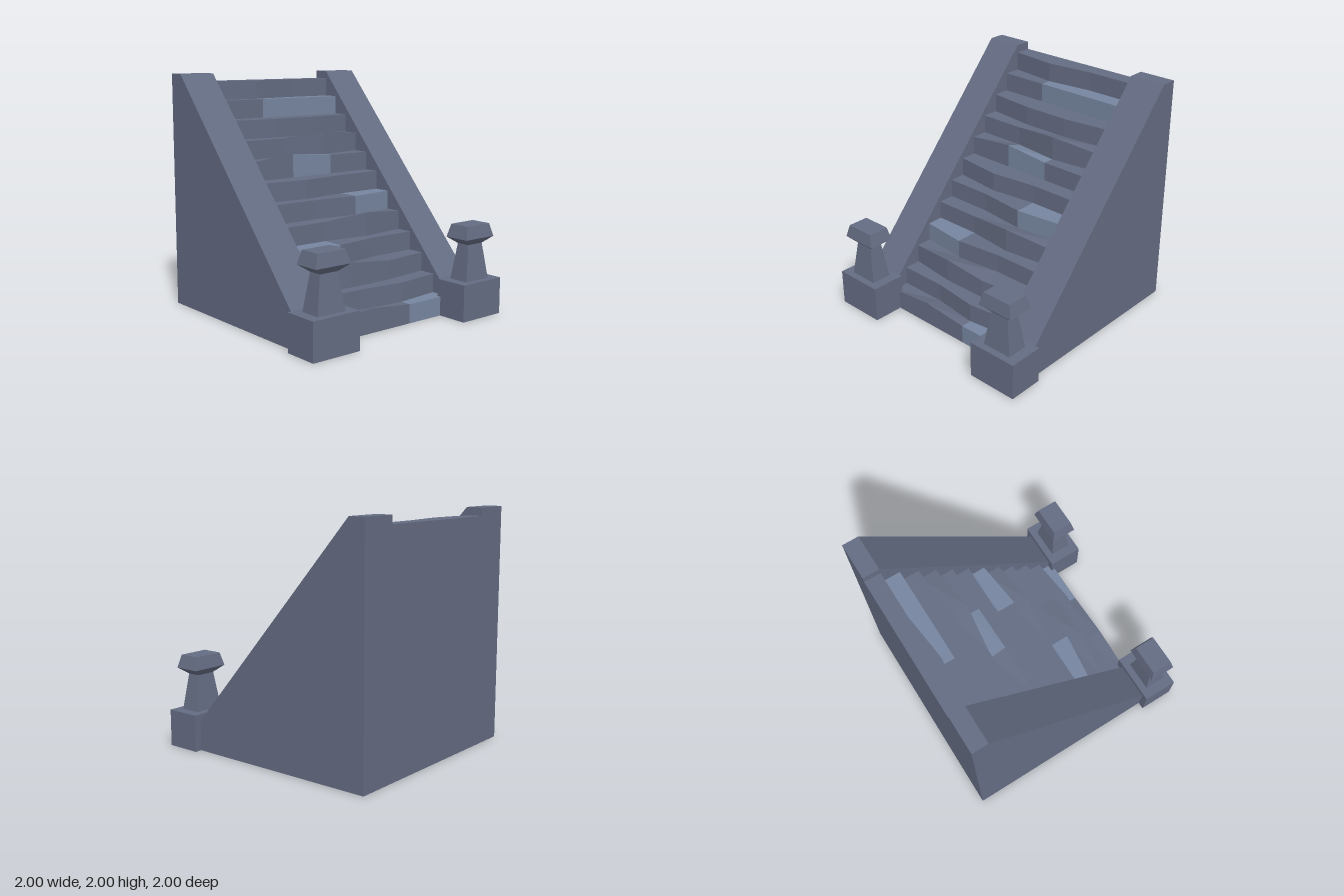
import * as THREE from 'three';

const STEPS = 12, RISE = 0.161, RUN = 0.145, FRONT = 0.735, BACK = -1;
const COLS = [-0.62, -0.205, 0.205, 0.62];
const BUMP_Z = 0.048, BUMP_Y = 0.04;

// Inner columns (1 or 2) pushed forward or up on each step
const FORWARD = [[], [2], [1, 2], [1], [2], [2], [1], [], [2], [1, 2], [], [1]];
const RAISED = [[1], [], [1], [], [2], [], [], [1], [2], [], [], []];
// Paler stones on each step, by cell
const PALE = { 0: [2], 3: [0], 5: [2], 7: [1], 10: [1, 2] };

const stone = new THREE.MeshStandardMaterial({ color: 0x646c82, flatShading: true });
const paleStone = new THREE.MeshStandardMaterial({ color: 0x76859f, flatShading: true });

// Corners a, b, c, d run counter-clockwise seen from outside
function quad(list, a, b, c, d) {
  list.push(...a, ...b, ...c, ...a, ...c, ...d);
}

function meshFrom(list, material, name) {
  const geometry = new THREE.BufferGeometry();
  geometry.setAttribute('position', new THREE.Float32BufferAttribute(list, 3));
  geometry.computeVertexNormals();
  const mesh = new THREE.Mesh(geometry, material);
  mesh.name = name;
  return mesh;
}

// Worn flight of steps with its back and underside
function createStairs() {
  const plain = [], pale = [];
  const frontZ = (k, c) => k === STEPS ? BACK
    : FRONT - RUN * k + (FORWARD[k].includes(c) ? BUMP_Z : 0);
  const edgeY = (k, c) => RISE * (k + 1) + (RAISED[k].includes(c) ? BUMP_Y : 0);

  for (let k = 0; k < STEPS; k++) {
    for (let c = 0; c < 3; c++) {
      const list = PALE[k]?.includes(c) ? pale : plain;
      const foot = i => [COLS[i], RISE * k, frontZ(k, i)];
      const edge = i => [COLS[i], edgeY(k, i), frontZ(k, i)];
      const rear = i => [COLS[i], RISE * (k + 1), frontZ(k + 1, i)];
      quad(list, foot(c), foot(c + 1), edge(c + 1), edge(c));
      quad(list, edge(c), edge(c + 1), rear(c + 1), rear(c));
    }
  }
  const [l, r, top] = [COLS[0], COLS[3], RISE * STEPS];
  quad(plain, [r, 0, BACK], [l, 0, BACK], [l, top, BACK], [r, top, BACK]);
  quad(plain, [l, 0, BACK], [r, 0, BACK], [r, 0, FRONT], [l, 0, FRONT]);
  // Ends of the bottom step, in front of the side walls
  quad(plain, [r, 0, FRONT], [r, 0, 0.59], [r, RISE, 0.59], [r, RISE, FRONT]);
  quad(plain, [l, 0, 0.59], [l, 0, FRONT], [l, RISE, FRONT], [l, RISE, 0.59]);

  const group = new THREE.Group();
  group.name = 'stairs';
  group.add(meshFrom(plain, stone, 'steps'), meshFrom(pale, paleStone, 'paleStones'));
  return group;
}

// Sloping side wall, profile drawn as (-z, y) and extruded along x
function createWall(side) {
  const shape = new THREE.Shape([
    [-0.7, 0], [1, 0], [1, 2], [0.86, 2], [-0.7, 0.25],
  ].map(([x, y]) => new THREE.Vector2(x, y)));
  const geometry = new THREE.ExtrudeGeometry(shape, { depth: 0.32, bevelEnabled: false });
  geometry.translate(0, 0, -0.16).rotateY(Math.PI / 2);
  const mesh = new THREE.Mesh(geometry, stone);
  mesh.position.x = side * 0.78;
  mesh.name = side > 0 ? 'leftWall' : 'rightWall';
  return mesh;
}

// Plinth carrying a tapered post with a flared cap
function createNewel(side) {
  const plinth = new THREE.Mesh(new THREE.BoxGeometry(0.44, 0.31, 0.3), stone);
  plinth.position.y = 0.155;
  plinth.name = 'plinth';

  const profile = [[0.131, 0.31], [0.083, 0.612], [0.163, 0.668], [0.131, 0.776], [0, 0.776]]
    .map(([halfWidth, y]) => new THREE.Vector2(halfWidth * Math.SQRT2, y));
  const post = new THREE.Mesh(new THREE.LatheGeometry(profile, 4, Math.PI / 4), stone);
  post.scale.z = 0.69;
  post.name = 'cappedPost';

  const group = new THREE.Group();
  group.name = side > 0 ? 'leftNewel' : 'rightNewel';
  group.position.set(side * 0.78, 0, 0.85);
  group.add(plinth, post);
  return group;
}

export function createModel() {
  const model = new THREE.Group();
  model.name = 'stoneStaircase';
  model.add(createStairs());
  for (const side of [-1, 1]) model.add(createWall(side), createNewel(side));
  return model;
}
